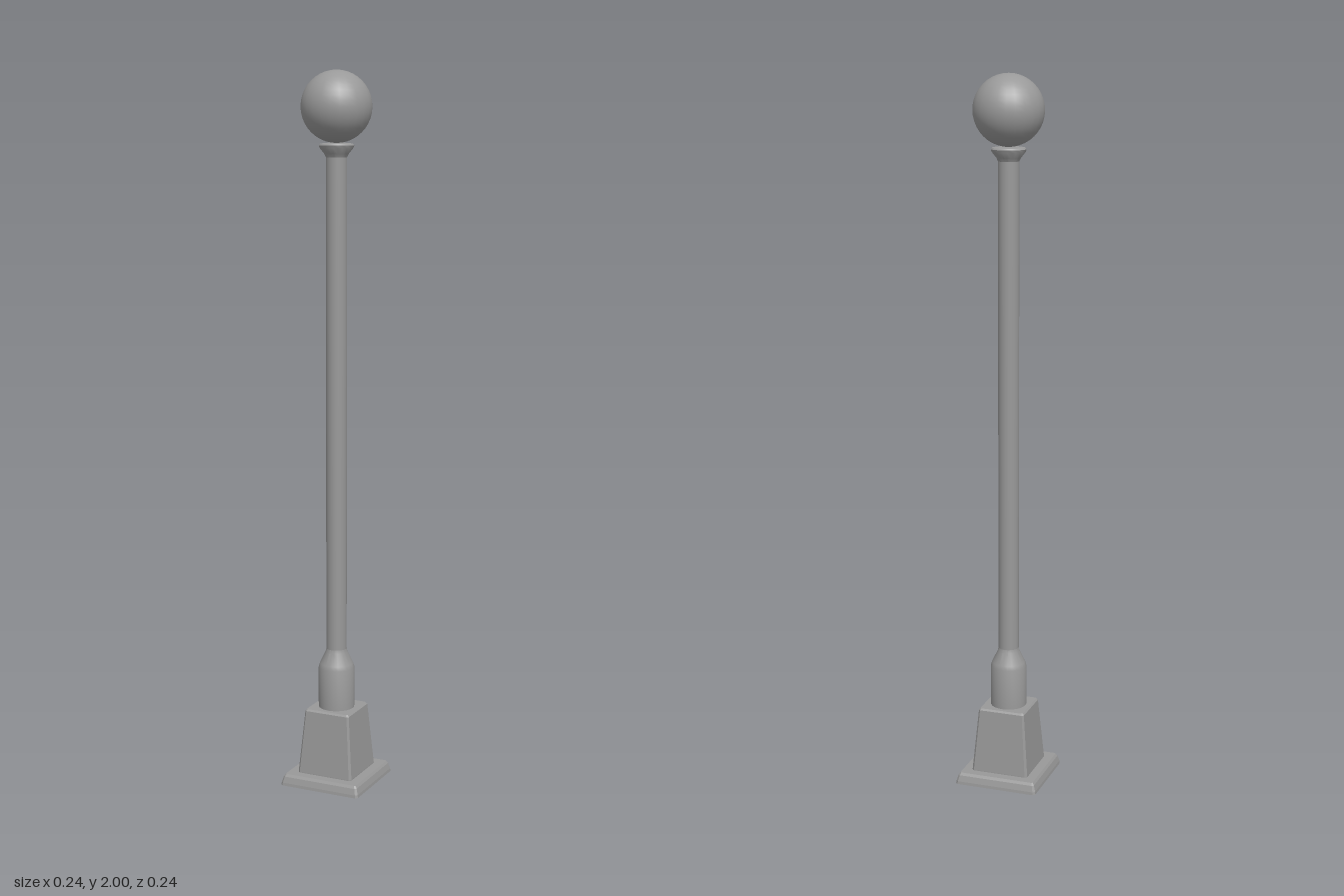
import * as THREE from 'three';
import { toCreasedNormals } from 'three/addons/utils/BufferGeometryUtils.js';

const darkGrey = 0x999999;
const smoothMetal = new THREE.MeshStandardMaterial({ color: darkGrey, side: THREE.DoubleSide });
const flatMetal = new THREE.MeshStandardMaterial({ color: darkGrey, side: THREE.DoubleSide, flatShading: true });

// Square loft with chamfered corners; each level is [half width, chamfer, y]
function squareLoft(levels) {
  const rings = levels.map(([h, c, y]) => {
    const k = h - c;
    return [[h, -k], [h, k], [k, h], [-k, h], [-h, k], [-h, -k], [-k, -h], [k, -h]]
      .map(([x, z]) => [x, y, z]);
  });
  const pos = [];
  for (let l = 0; l < rings.length - 1; l++) {
    for (let i = 0; i < 8; i++) {
      const j = (i + 1) % 8;
      const a = rings[l][i], b = rings[l][j], c = rings[l + 1][i], d = rings[l + 1][j];
      pos.push(...a, ...c, ...b, ...b, ...c, ...d);
    }
  }
  const geo = new THREE.BufferGeometry();
  geo.setAttribute('position', new THREE.Float32BufferAttribute(pos, 3));
  geo.computeVertexNormals();
  return geo;
}

function turned(points) {
  const profile = points.map(([r, y]) => new THREE.Vector2(r, y));
  return toCreasedNormals(new THREE.LatheGeometry(profile, 24), 0.5);
}

export function createModel() {
  const model = new THREE.Group();
  model.name = 'lampPost';
  const add = (name, geometry, material = smoothMetal) => {
    const mesh = new THREE.Mesh(geometry, material);
    mesh.name = name;
    model.add(mesh);
    return mesh;
  };

  // Plinth: a shell, open underneath
  add('plinth', squareLoft([
    [0.12, 0.006, 0], [0.119, 0.006, 0.008], [0.114, 0.005, 0.025],
    [0.109, 0.003, 0.032], [0.078, 0.003, 0.032],
  ]), flatMetal);

  // Tapered pedestal with narrow chamfered edges
  add('pedestal', squareLoft([
    [0, 0, 0.024], [0.083, 0.006, 0.024], [0.083, 0.006, 0.034],
    [0.068, 0.005, 0.213], [0.064, 0.004, 0.218], [0, 0, 0.218],
  ]), flatMetal);

  // Thick sleeve narrowing into the pole
  add('sleeve', turned([
    [0.051, 0.215], [0.051, 0.335], [0.047, 0.347], [0.031, 0.38], [0.029, 0.39],
  ]));

  add('pole', new THREE.CylinderGeometry(0.029, 0.029, 1.41, 24, 1, true)).position.y = 1.085;

  // Flared cup that holds the globe
  add('globeHolder', turned([
    [0.029, 1.768], [0.033, 1.777], [0.046, 1.793], [0.048, 1.8],
    [0.045, 1.804], [0.034, 1.806], [0, 1.806],
  ]));

  add('globe', new THREE.SphereGeometry(0.097, 24, 20)).position.y = 1.903;

  return model;
}
